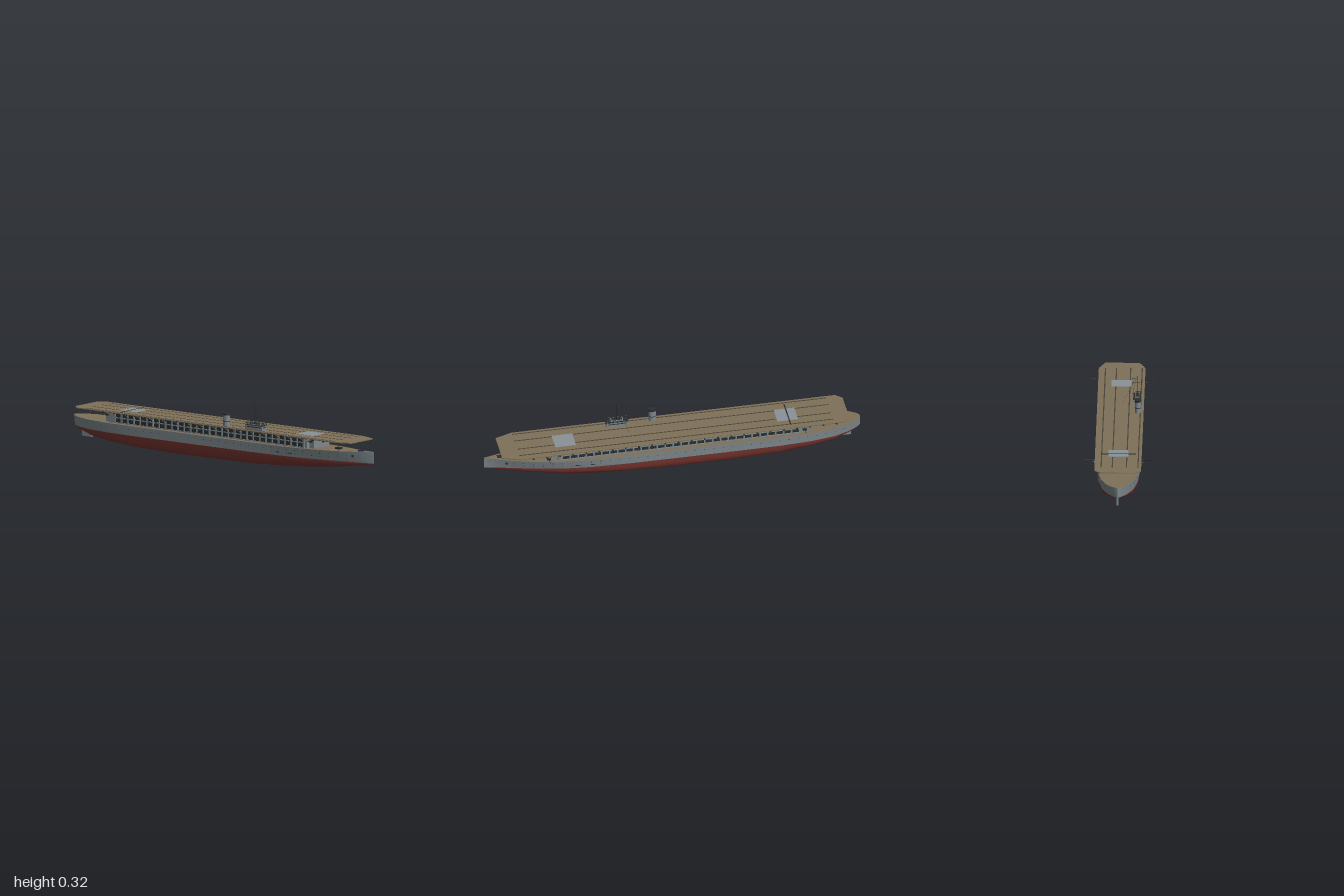
import * as THREE from 'three';
import { mergeGeometries } from 'three/addons/utils/BufferGeometryUtils.js';

const material = (name, color, side = THREE.FrontSide) => {
  const m = new THREE.MeshStandardMaterial({ color, side });
  m.name = name;
  return m;
};

export function createModel() {
  const ship = new THREE.Group();
  ship.name = 'aircraftCarrier';
  const grey = material('hullGrey', 0x7f898d, THREE.DoubleSide);
  const red = material('bottomRed', 0x7a3630, THREE.DoubleSide);
  const tan = material('deckTan', 0x7f7159, THREE.DoubleSide);
  const pale = material('liftGrey', 0x8a9298);
  const dark = material('darkGrey', 0x2b2f31);
  const line = material('deckLine', 0x4a4338);

  const add = (name, mat, ...geometries) => {
    const mesh = new THREE.Mesh(geometries.length > 1 ? mergeGeometries(geometries) : geometries[0], mat);
    mesh.name = name;
    ship.add(mesh);
    return mesh;
  };
  // Box given by its lower and upper limits
  const box = (x0, x1, y0, y1, z0, z1) =>
    new THREE.BoxGeometry(x1 - x0, y1 - y0, z1 - z0).translate((x0 + x1) / 2, (y0 + y1) / 2, (z0 + z1) / 2);
  const rod = (a, b, r = 0.001) => {
    const p = new THREE.Vector3(...a), d = new THREE.Vector3(...b).sub(p);
    const g = new THREE.CylinderGeometry(r, r, d.length(), 5);
    g.applyQuaternion(new THREE.Quaternion().setFromUnitVectors(new THREE.Vector3(0, 1, 0), d.clone().normalize()));
    return g.translate(p.x + d.x / 2, p.y + d.y / 2, p.z + d.z / 2);
  };

  // Hull stations: x, half width at deck, half width at waterline, keel height, flat bottom share, deck height
  const WL = 0.067;
  const stations = [
    [-1, 0, 0, 0.066, 0.2, 0.121], [-0.99, 0.02, 0.012, 0.064, 0.2, 0.121], [-0.97, 0.037, 0.028, 0.058, 0.25, 0.12],
    [-0.93, 0.06, 0.052, 0.047, 0.3, 0.119], [-0.85, 0.087, 0.082, 0.029, 0.4, 0.118],
    [-0.72, 0.106, 0.103, 0.014, 0.55, 0.118], [-0.55, 0.113, 0.112, 0.005, 0.68, 0.118],
    [-0.3, 0.114, 0.113, 0, 0.72, 0.118], [0, 0.114, 0.113, 0, 0.72, 0.118], [0.25, 0.114, 0.112, 0.002, 0.7, 0.118],
    [0.45, 0.111, 0.105, 0.008, 0.6, 0.118], [0.6, 0.1, 0.09, 0.016, 0.5, 0.118], [0.75, 0.074, 0.06, 0.029, 0.38, 0.12],
    [0.85, 0.048, 0.034, 0.041, 0.28, 0.122], [0.93, 0.023, 0.014, 0.052, 0.2, 0.125], [0.98, 0.007, 0.004, 0.061, 0.2, 0.128],
    [1, 0, 0, 0.066, 0.2, 0.13],
  ];
  const loft = (section) => {
    const rings = stations.map((s) => section(...s).map(([z, y]) => [s[0], y, z]));
    const n = rings[0].length, index = [];
    for (let i = 0; i < rings.length - 1; i++) {
      for (let j = 0; j < n - 1; j++) {
        const a = i * n + j, b = a + n;
        index.push(a, b, a + 1, b, b + 1, a + 1);
      }
    }
    const g = new THREE.BufferGeometry();
    g.setAttribute('position', new THREE.Float32BufferAttribute(rings.flat(2), 3));
    g.setIndex(index);
    g.computeVertexNormals();
    return g;
  };
  add('lowerHull', red, loft((x, top, w, k, f) => {
    const h = WL - k;
    const half = [[f * w, k], [(0.55 * f + 0.45) * w, k + 0.1 * h], [(0.25 * f + 0.75) * w, k + 0.3 * h], [0.98 * w, k + 0.62 * h], [w, WL]];
    return [...half.map(([z, y]) => [-z, y]).reverse(), [0, k], ...half];
  }));
  for (const s of [-1, 1]) {
    add('hullSide', grey, loft((x, top, w, k, f, y) => {
      const side = [[s * w, WL], [s * top, y]];
      return s > 0 ? side : side.reverse();
    }));
  }
  add('mainDeck', tan, loft((x, top, w, k, f, y) => [[top, y], [-top, y]]));
  add('rudder', grey, box(-0.95, -0.885, 0.01, 0.05, -0.004, 0.004));

  // Half width of the hull side at a position, for fittings on the plating
  const hullWidth = (x, y) => {
    const i = Math.max(1, stations.findIndex((s) => s[0] >= x));
    const a = stations[i - 1], b = stations[i], t = (x - a[0]) / (b[0] - a[0]);
    const u = (y - WL) / 0.052;
    return THREE.MathUtils.lerp(a[2] + (a[1] - a[2]) * u, b[2] + (b[1] - b[2]) * u, t);
  };
  const ports = [];
  for (const s of [-1, 1]) {
    for (let x = -0.9; x < 0.9; x += 0.05) {
      for (const y of x > 0.4 ? [0.085, 0.103] : [0.1]) {
        const z = s * hullWidth(x, y);
        ports.push(box(x - 0.0018, x + 0.0018, y - 0.0018, y + 0.0018, z - 0.0015, z + 0.0015));
      }
    }
    const za = s * hullWidth(0.885, 0.1);
    ports.push(box(0.88, 0.89, 0.094, 0.106, za - 0.003, za + 0.003));
    for (const x of [0.44, 0.52]) {
      const z = s * hullWidth(x, 0.085);
      ports.push(box(x - 0.012, x + 0.012, 0.083, 0.087, z - 0.002, z + 0.002));
    }
  }
  add('portholes', dark, ...ports);
  add('mooringGear', dark, box(0.9, 0.93, 0.124, 0.13, -0.01, 0.01), box(0.75, 0.78, 0.12, 0.13, -0.012, 0.012));

  // Hangar under the flight deck, with narrower ends
  add('hangar', grey, box(-0.71, 0.62, 0.117, 0.176, -0.084, 0.084));
  add('hangarEnds', grey, box(-0.74, 0.65, 0.117, 0.176, -0.064, 0.064));
  const frames = [], openings = [], braces = [];
  for (const s of [-1, 1]) {
    const lo = s > 0 ? 0.084 : -0.0855, hi = s > 0 ? 0.0855 : -0.084;
    openings.push(box(-0.66, 0.6, 0.121, 0.174, lo, hi));
    const z0 = Math.min(s * 0.084, s * 0.09), z1 = Math.max(s * 0.084, s * 0.09);
    for (const y of [0.119, 0.145, 0.17]) frames.push(box(-0.665, 0.605, y, y + 0.005, z0, z1));
    for (let i = 0; i <= 30; i++) {
      const x = -0.66 + i * 0.042;
      frames.push(box(x - 0.004, x + 0.004, 0.118, 0.176, z0, z1));
      if (i % 2 === 0) braces.push(rod([x, 0.158, s * 0.088], [x, 0.175, s * 0.119], 0.0013));
    }
    for (const x of [-0.7, 0.64]) {
      braces.push(rod([x, 0.147, s * 0.055], [x, 0.166, s * 0.13], 0.0012));
      braces.push(rod([x, 0.166, s * 0.085], [x, 0.166, s * 0.135], 0.0012));
    }
  }
  add('hangarOpenings', dark, ...openings);
  add('hangarFrames', grey, ...frames);
  add('deckBraces', grey, ...braces);

  // Flight deck with cut corners
  const outline = [[-0.925, 0.09], [-0.89, 0.122], [0.83, 0.122], [0.92, 0.09]];
  const shape = new THREE.Shape([...outline, ...outline.map(([x, z]) => [x, -z]).reverse()].map((p) => new THREE.Vector2(...p)));
  add('flightDeck', tan, new THREE.ExtrudeGeometry(shape, { depth: 0.005, bevelEnabled: false }).rotateX(-Math.PI / 2).translate(0, 0.1755, 0));
  add('deckLines', line, ...[-0.087, -0.029, 0.045, 0.105].map((z) => box(-0.84, 0.83, 0.18, 0.1812, z - 0.003, z + 0.003)));
  add('lifts', pale, box(-0.66, -0.55, 0.18, 0.1818, -0.052, 0.052), box(0.52, 0.63, 0.18, 0.1818, -0.052, 0.052));
  add('deckBarrier', dark, box(-0.616, -0.61, 0.18, 0.183, -0.092, 0.092));
  const edge = [];
  for (const s of [-1, 1]) {
    for (let x = -0.85; x < 0.83; x += 0.07) {
      edge.push(box(x - 0.004, x + 0.004, 0.172, 0.178, s * 0.123 - 0.004, s * 0.123 + 0.004));
    }
  }
  add('edgeFittings', dark, ...edge);

  // Aerials folded out from the deck edge
  const aerials = [];
  for (const s of [-1, 1]) {
    for (const x of [-0.68, 0.68]) {
      aerials.push(rod([x, 0.17, s * 0.115], [x, 0.171, s * 0.172], 0.0013));
      aerials.push(rod([x, 0.16, s * 0.115], [x, 0.17, s * 0.15], 0.001));
      aerials.push(box(x - 0.01, x + 0.01, 0.163, 0.172, s * 0.13 - 0.005, s * 0.13 + 0.005));
    }
  }
  add('aerials', dark, ...aerials);

  // Funnel
  const oval = (r, y0, y1) => new THREE.CylinderGeometry(r, r, y1 - y0, 20).scale(1.25, 1, 1).translate(0.087, (y0 + y1) / 2, 0.092);
  add('funnel', grey, oval(0.0155, 0.18, 0.242));
  add('funnelCap', dark, oval(0.0162, 0.24, 0.251), oval(0.0165, 0.207, 0.21));

  // Island with bridge rail and wheelhouse
  add('island', grey, box(0.22, 0.335, 0.18, 0.207, 0.066, 0.103), box(0.245, 0.31, 0.205, 0.216, 0.074, 0.099));
  const rails = [];
  for (const y of [0.207, 0.217]) {
    for (const z of [0.066, 0.103]) rails.push(rod([0.22, y, z], [0.335, y, z], 0.0012));
    for (const x of [0.22, 0.335]) rails.push(rod([x, y, 0.066], [x, y, 0.103], 0.0012));
  }
  for (let i = 0; i <= 6; i++) {
    const x = 0.22 + (i * 0.115) / 6;
    for (const z of [0.066, 0.103]) rails.push(rod([x, 0.207, z], [x, 0.217, z], 0.001));
  }
  add('bridgeRail', dark, ...rails);
  add('islandTop', dark, box(0.222, 0.333, 0.206, 0.2085, 0.068, 0.101), box(0.25, 0.305, 0.2155, 0.2175, 0.076, 0.097));
  add('islandWindows', dark, box(0.23, 0.325, 0.196, 0.2, 0.065, 0.104), box(0.219, 0.336, 0.196, 0.2, 0.072, 0.097));

  // Mast, yards and rigging
  add('mast', dark, rod([0.278, 0.2, 0.085], [0.278, 0.318, 0.085], 0.0018),
    rod([0.278, 0.283, 0.06], [0.278, 0.283, 0.11], 0.001), rod([0.278, 0.302, 0.06], [0.278, 0.302, 0.11], 0.001));
  const top = [0.278, 0.312, 0.085];
  add('rigging', dark, rod(top, [0.225, 0.18, 0.005], 0.0004), rod(top, [0.225, 0.18, 0.045], 0.0004),
    rod([0.278, 0.302, 0.11], [0.26, 0.208, 0.1], 0.0004), rod([0.278, 0.302, 0.06], [0.26, 0.208, 0.07], 0.0004));
  return ship;
}
